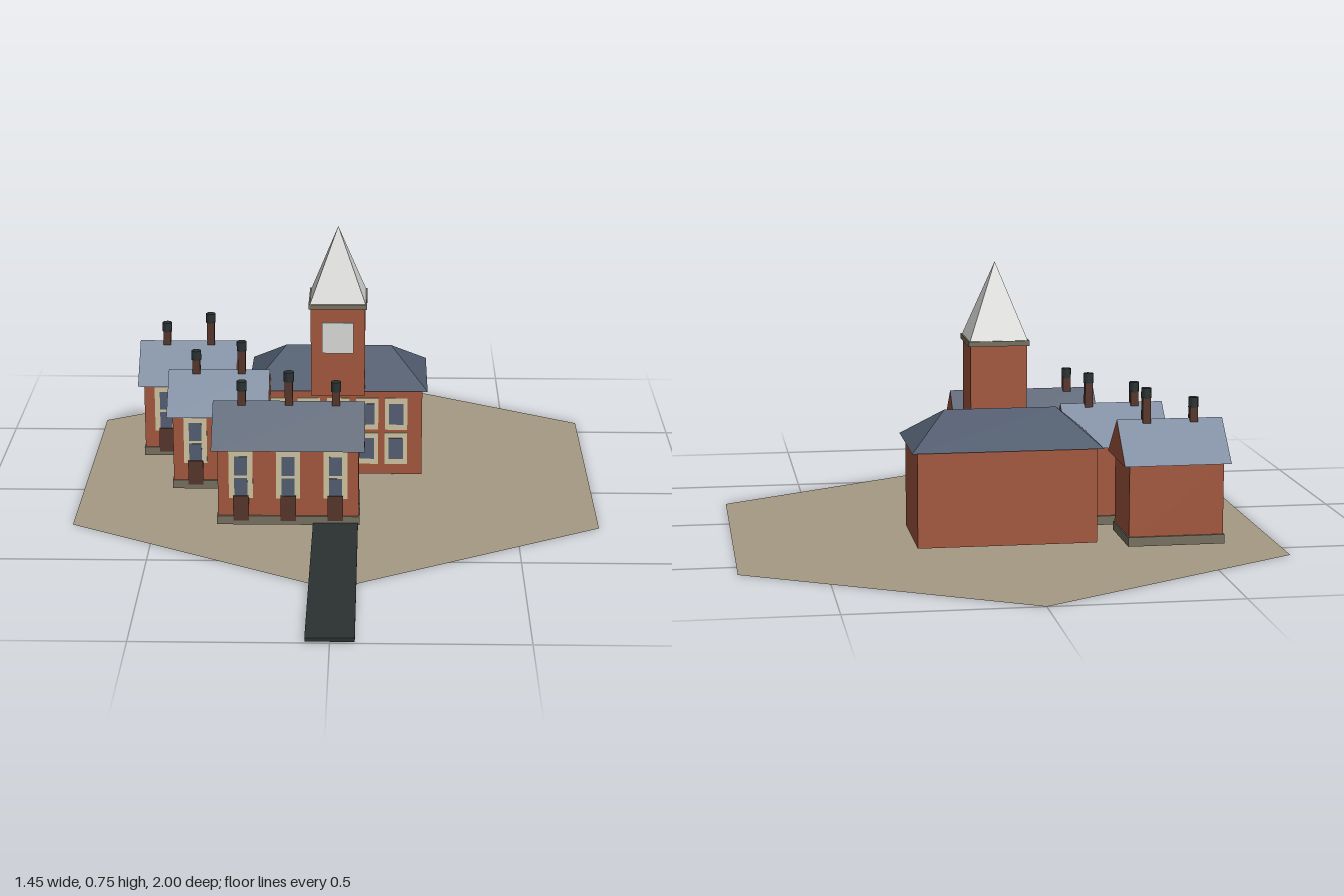
import * as THREE from 'three';

const mat = (name, color) => {
  const m = new THREE.MeshStandardMaterial({ color });
  m.name = name;
  return m;
};

export function createModel() {
  const ground = mat('ground', 0xa59a84);
  ground.side = THREE.DoubleSide;
  const asphalt = mat('asphalt', 0x2b3232);
  const brick = mat('brick', 0xa3573e);
  const stone = mat('stone', 0x777060);
  const darkSlate = mat('darkSlate', 0x505b6d);
  const lightSlate = mat('lightSlate', 0x77869b);
  const cream = mat('cream', 0xcec29f);
  const glass = mat('glass', 0x535d72);
  const brown = mat('brown', 0x55352a);
  const lead = mat('lead', 0xd9d9d7);

  const BASE = 0.008;
  const model = new THREE.Group();
  model.name = 'village';

  const add = (parent, name, geometry, material, x = 0, y = 0, z = 0) => {
    const mesh = new THREE.Mesh(geometry, material);
    mesh.name = name;
    mesh.position.set(x, y, z);
    parent.add(mesh);
    return mesh;
  };
  // Box given by its bottom and top heights
  const box = (parent, name, material, w, d, y0, y1, x = 0, z = 0) =>
    add(parent, name, new THREE.BoxGeometry(w, y1 - y0, d), material, x, (y0 + y1) / 2, z);

  const group = (name, x, z) => {
    const g = new THREE.Group();
    g.name = name;
    g.position.set(x, 0, z);
    model.add(g);
    return g;
  };

  // Hexagonal plot and approach road
  const hex = new THREE.CircleGeometry(0.84, 6, Math.PI / 6).rotateX(-Math.PI / 2);
  add(model, 'plot', hex, ground, 0, 0, -0.16);
  box(model, 'road', asphalt, 0.124, 1.03, 0.004, 0.014, 0, 0.485);

  // Row house: one window, door and chimney per bay
  const rowHouse = (bays, x, z, slate) => {
    const g = group('rowHouse', x, z);
    const w = bays * 0.13 - 0.003;
    const depth = 0.19;
    box(g, 'walls', brick, w, depth, BASE, 0.232);
    box(g, 'plinth', stone, w + 0.006, depth + 0.012, BASE, 0.033);

    // Gabled roof with brick ends
    const gable = new THREE.Shape([
      new THREE.Vector2(-0.114, 0.228),
      new THREE.Vector2(0.114, 0.228),
      new THREE.Vector2(0, 0.335),
    ]);
    const length = bays * 0.13 + 0.03;
    const roof = new THREE.ExtrudeGeometry(gable, { depth: length, bevelEnabled: false });
    roof.translate(0, 0, -length / 2).rotateY(Math.PI / 2);
    add(g, 'roof', roof, [brick, slate]);

    for (let i = 0; i < bays; i++) {
      const bx = (i - (bays - 1) / 2) * 0.13;
      const front = depth / 2;
      box(g, 'windowFrame', cream, 0.066, 0.004, 0.085, 0.224, bx, front + 0.001);
      box(g, 'upperPane', glass, 0.036, 0.004, 0.152, 0.207, bx, front + 0.002);
      box(g, 'lowerPane', glass, 0.036, 0.004, 0.085, 0.144, bx, front + 0.002);
      box(g, 'door', brown, 0.043, 0.009, 0.02, 0.093, bx, front + 0.003);
      const top = i % 2 ? 0.42 : 0.392;
      box(g, 'chimney', brown, 0.022, 0.022, 0.3, top - 0.025, bx);
      add(g, 'chimneyPot', new THREE.CylinderGeometry(0.014, 0.014, 0.028, 8), asphalt, bx, top - 0.014);
    }
  };
  rowHouse(3, -0.13, 0.168, darkSlate);
  rowHouse(2, -0.34, -0.096, lightSlate);
  rowHouse(2, -0.447, -0.36, lightSlate);

  // Main hall
  const hall = group('hall', 0, -0.26);
  box(hall, 'hallWalls', brick, 0.486, 0.28, BASE, 0.267);

  // Hipped roof from its eave corners and ridge ends
  const W = 0.258, D = 0.153, E = 0.267;
  const a = [-W, E, D], b = [W, E, D], c = [W, E, -D], d = [-W, E, -D];
  const r = [0.153, 0.357, 0], l = [-0.153, 0.357, 0];
  const triangles = [a, b, r, a, r, l, b, c, r, c, d, l, c, l, r, d, a, l, a, d, c, a, c, b];
  const hip = new THREE.BufferGeometry();
  hip.setAttribute('position', new THREE.Float32BufferAttribute(triangles.flat(), 3));
  hip.computeVertexNormals();
  add(hall, 'hallRoof', hip, darkSlate);

  // Two rows of hall windows with the entrance in the middle
  for (let i = -2; i <= 2; i++) {
    for (const y of [0.088, 0.194]) {
      if (i === 0 && y < 0.1) continue;
      const x = i * 0.084;
      box(hall, 'hallWindowFrame', cream, 0.065, 0.004, y - 0.048, y + 0.048, x, 0.141);
      box(hall, 'hallPane', glass, 0.042, 0.004, y - 0.032, y + 0.032, x, 0.142);
    }
  }
  box(hall, 'entranceDoor', brown, 0.06, 0.009, BASE, 0.11, 0, 0.142);

  // Clock tower with cornice and spire
  const tower = group('tower', 0, -0.158);
  box(tower, 'towerWalls', brick, 0.154, 0.154, 0.262, 0.523);
  box(tower, 'cornice', stone, 0.166, 0.166, 0.523, 0.537);
  const spire = new THREE.ConeGeometry(0.079 * Math.SQRT2, 0.208, 4).rotateY(Math.PI / 4).toNonIndexed();
  spire.computeVertexNormals();
  add(tower, 'spire', spire, lead, 0, 0.641, 0);
  box(tower, 'clockFace', lead, 0.09, 0.008, 0.393, 0.483, 0, 0.08);

  return model;
}
